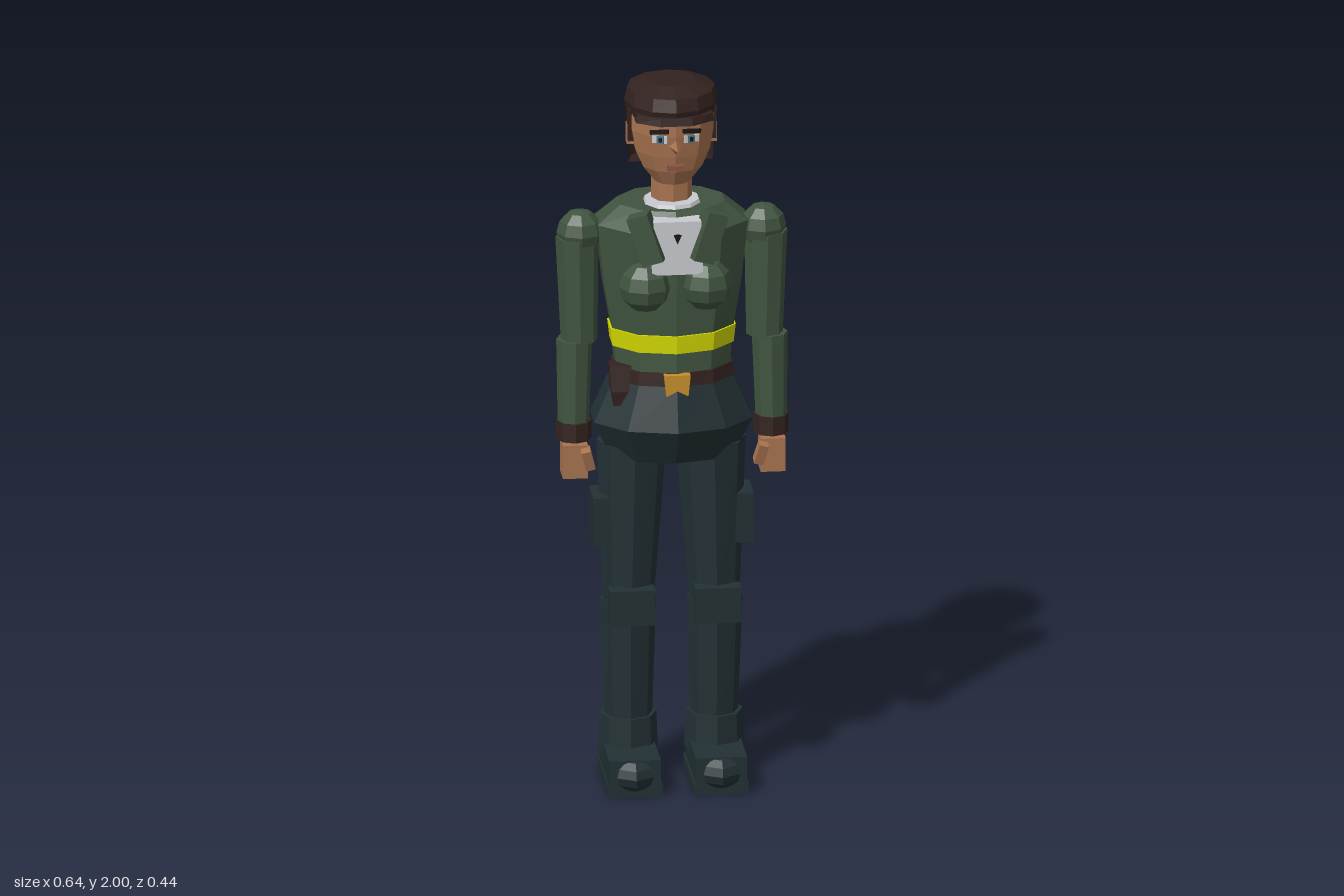
import * as THREE from 'three';

const mat = (name, color, side = THREE.FrontSide) => {
  const m = new THREE.MeshStandardMaterial({ color, flatShading: true, side });
  m.name = name;
  return m;
};

// Closed skin through elliptical rings, bottom to top: [y, radiusX, radiusZ, centreX, centreZ]
function loft(rows, sides = 10, phase = 0) {
  const pos = [], idx = [];
  for (const [y, rx, rz, cx = 0, cz = 0] of rows)
    for (let i = 0; i < sides; i++) {
      const a = phase + (i / sides) * Math.PI * 2;
      pos.push(cx + rx * Math.sin(a), y, cz + rz * Math.cos(a));
    }
  for (let r = 0; r < rows.length - 1; r++)
    for (let i = 0; i < sides; i++) {
      const j = (i + 1) % sides, a = r * sides + i, b = r * sides + j;
      idx.push(a, b, b + sides, a, b + sides, a + sides);
    }
  const top = (rows.length - 1) * sides;
  for (let i = 1; i < sides - 1; i++) {
    idx.push(0, i + 1, i);
    idx.push(top, top + i, top + i + 1);
  }
  const g = new THREE.BufferGeometry();
  g.setAttribute('position', new THREE.Float32BufferAttribute(pos, 3));
  g.setIndex(idx);
  g.computeVertexNormals();
  return g;
}

const box = (w, h, d) => new THREE.BoxGeometry(w, h, d);
const ball = (r, w = 8, h = 6) => new THREE.SphereGeometry(r, w, h);

export function createModel() {
  const green = mat('jacketGreen', 0x40543f);
  const navy = mat('trouserNavy', 0x223034);
  const brown = mat('darkBrown', 0x33221f, THREE.DoubleSide);
  const skin = mat('skin', 0xa87350);
  const yellow = mat('bandYellow', 0xd2d800);
  const gold = mat('gold', 0xc48f2c);
  const white = mat('shirtWhite', 0xc9cbd0);
  const blue = mat('irisBlue', 0x4a7590);
  const lip = mat('lip', 0x8a5442);
  const black = mat('black', 0x1a1614);

  const model = new THREE.Group();
  model.name = 'officer';
  const add = (name, geo, material, p = [0, 0, 0], r = [0, 0, 0], s = [1, 1, 1]) => {
    const m = new THREE.Mesh(geo, material);
    m.name = name;
    m.position.set(...p);
    m.rotation.set(...r);
    m.scale.set(...s);
    model.add(m);
    return m;
  };

  // Torso
  add('jacket', loft([
    [1.19, 0.163, 0.128, 0, 0.016], [1.28, 0.17, 0.126, 0, 0.012], [1.42, 0.195, 0.138, 0, 0.004],
    [1.6, 0.216, 0.148, 0, 0], [1.655, 0.15, 0.115, 0, 0.003],
  ]), green);
  add('reflectiveBand', loft([
    [1.255, 0.174, 0.131, 0, 0.012], [1.305, 0.18, 0.134, 0, 0.011],
  ]), yellow);
  add('belt', loft([
    [1.163, 0.176, 0.136, 0, 0.017], [1.2, 0.17, 0.133, 0, 0.016],
  ]), brown);
  add('hips', loft([
    [0.935, 0.18, 0.125, 0, 0], [1.04, 0.228, 0.171, 0, 0.013], [1.168, 0.17, 0.132, 0, 0.017],
  ]), navy);
  const buckle = new THREE.Shape([[-0.036, 1.2], [-0.03, 1.14], [0, 1.155], [0.03, 1.14], [0.036, 1.2]]
    .reverse().map(([x, y]) => new THREE.Vector2(x, y)));
  add('buckle', new THREE.ExtrudeGeometry(buckle, { depth: 0.025, bevelEnabled: false }), gold, [0, 0, 0.138]);
  add('holster', loft([
    [1.1, 0.018, 0.022, -0.155, 0.09], [1.14, 0.034, 0.034, -0.15, 0.085], [1.21, 0.042, 0.036, -0.148, 0.07],
  ], 4, Math.PI / 4), brown);

  // Shirt front, collar and pendant
  const shirt = new THREE.Shape([[-0.07, 1.49], [0.07, 1.49], [0.065, 1.642], [-0.065, 1.642]]
    .map(([x, y]) => new THREE.Vector2(x, y)));
  add('shirt', new THREE.ExtrudeGeometry(shirt, { depth: 0.055, bevelEnabled: false }), white, [0, 0, 0.108]);
  add('shirtCollar', loft([[1.64, 0.085, 0.085, 0, 0.02], [1.665, 0.075, 0.075, 0, 0.02]]), white);
  add('pendant', new THREE.ConeGeometry(0.013, 0.028, 3), black, [0, 1.592, 0.165], [Math.PI, 0, 0], [1, 1, 0.4]);

  // Head
  add('neck', loft([[1.63, 0.056, 0.052, 0, 0.01], [1.77, 0.056, 0.052, 0, 0.01]], 8), skin);
  add('head', loft([
    [1.722, 0.05, 0.055, 0, 0.03], [1.765, 0.085, 0.085, 0, 0.022], [1.81, 0.106, 0.104, 0, 0.013],
    [1.87, 0.117, 0.112, 0, 0.013], [1.94, 0.117, 0.112, 0, 0.013],
  ]), skin);
  add('nose', new THREE.ConeGeometry(0.022, 0.06, 4), skin, [0, 1.843, 0.138], [Math.PI / 2, 0, 0], [0.9, 1, 1.2]);
  add('mouth', box(0.045, 0.014, 0.03), lip, [0, 1.783, 0.112]);

  // Cap and hair
  add('cap', loft([
    [1.912, 0.122, 0.128, 0, 0], [1.945, 0.128, 0.138, 0, 0], [1.98, 0.12, 0.128, 0, 0], [2, 0.065, 0.07, 0, 0],
  ], 12), brown);
  add('capBrim', loft([
    [1.908, 0.115, 0.075, 0, 0.07], [1.93, 0.112, 0.07, 0, 0.07],
  ], 8, Math.PI / 8), brown);
  add('backHair', new THREE.CylinderGeometry(0.126, 0.115, 0.175, 7, 1, false, Math.PI * 0.5, Math.PI),
    brown, [0, 1.848, -0.01]);
  add('ponytail', new THREE.ConeGeometry(0.042, 0.21, 6), brown,
    [0, 1.748, -0.178], [Math.PI + 0.43, 0, 0], [1.2, 1, 1]);
  add('hairTie', box(0.05, 0.016, 0.035), gold, [0, 1.875, -0.135], [-0.3, 0, 0]);

  for (const s of [-1, 1]) {
    const side = s > 0 ? 'left' : 'right';
    const put = (name, geo, material, p, r = [0, 0, 0], sc) =>
      add(side + name, geo, material, [p[0] * s, p[1], p[2]], [r[0], r[1] * s, r[2] * s], sc);
    const limb = (name, rows, material, n = 8) =>
      add(side + name, loft(rows.map(([y, rx, rz, cx, cz]) => [y, rx, rz, cx * s, cz]), n), material);

    // Face and side hair
    put('EyeWhite', box(0.042, 0.02, 0.008), white, [0.043, 1.864, 0.113], [0, 0.33, 0]);
    put('Iris', box(0.02, 0.02, 0.008), blue, [0.042, 1.864, 0.116], [0, 0.33, 0]);
    put('Pupil', box(0.009, 0.012, 0.008), black, [0.042, 1.864, 0.118], [0, 0.33, 0]);
    put('Brow', box(0.052, 0.011, 0.012), black, [0.044, 1.886, 0.114], [0, 0.33, -0.1]);
    put('Ear', box(0.02, 0.055, 0.035), skin, [0.113, 1.85, 0.005]);
    put('Sideburn', box(0.016, 0.09, 0.036), brown, [0.113, 1.88, 0.018]);

    // Chest and lapel
    put('Chest', ball(0.072), green, [0.083, 1.447, 0.122], [0, 0, 0], [1, 1, 0.95]);
    put('Lapel', box(0.06, 0.14, 0.05), green, [0.084, 1.595, 0.153], [0, 0.3, -0.33]);

    // Arm
    put('Shoulder', ball(0.064), green, [0.25, 1.572, 0.01]);
    limb('UpperArm', [[1.265, 0.05, 0.047, 0.253, 0.02], [1.56, 0.059, 0.06, 0.258, 0.01]], green);
    limb('Forearm', [[1.035, 0.043, 0.043, 0.27, 0.033], [1.27, 0.049, 0.05, 0.267, 0.022]], green);
    limb('Cuff', [[0.988, 0.048, 0.05, 0.269, 0.034], [1.04, 0.049, 0.05, 0.269, 0.032]], brown);
    put('Hand', box(0.068, 0.095, 0.075), skin, [0.27, 0.935, 0.047]);
    put('Wrist', box(0.05, 0.04, 0.05), skin, [0.269, 0.985, 0.036]);
    put('Thumb', box(0.026, 0.06, 0.032), skin, [0.236, 0.945, 0.086], [0.25, 0, -0.25]);

    // Leg
    limb('Thigh', [[0.51, 0.069, 0.077, 0.117, 0.012], [0.97, 0.096, 0.098, 0.108, 0.002]], navy);
    limb('Calf', [[0.1, 0.063, 0.066, 0.117, 0], [0.515, 0.077, 0.073, 0.118, 0.005]], navy);
    put('KneePad', box(0.125, 0.1, 0.05), navy, [0.117, 0.518, 0.09]);
    put('ThighPocket', box(0.05, 0.14, 0.115), navy, [0.194, 0.752, 0.012]);

    // Boot
    limb('BootShaft', [[0.08, 0.082, 0.082, 0.118, 0], [0.185, 0.078, 0.078, 0.118, 0]], navy);
    put('Boot', box(0.14, 0.08, 0.262), navy, [0.118, 0.065, 0.052]);
    put('Sole', box(0.148, 0.03, 0.27), navy, [0.117, 0.015, 0.05]);
    put('ToeCap', ball(0.058, 6, 6), navy, [0.118, 0.06, 0.165], [0, Math.PI / 6, 0], [1, 0.8, 1]);
  }
  return model;
}
